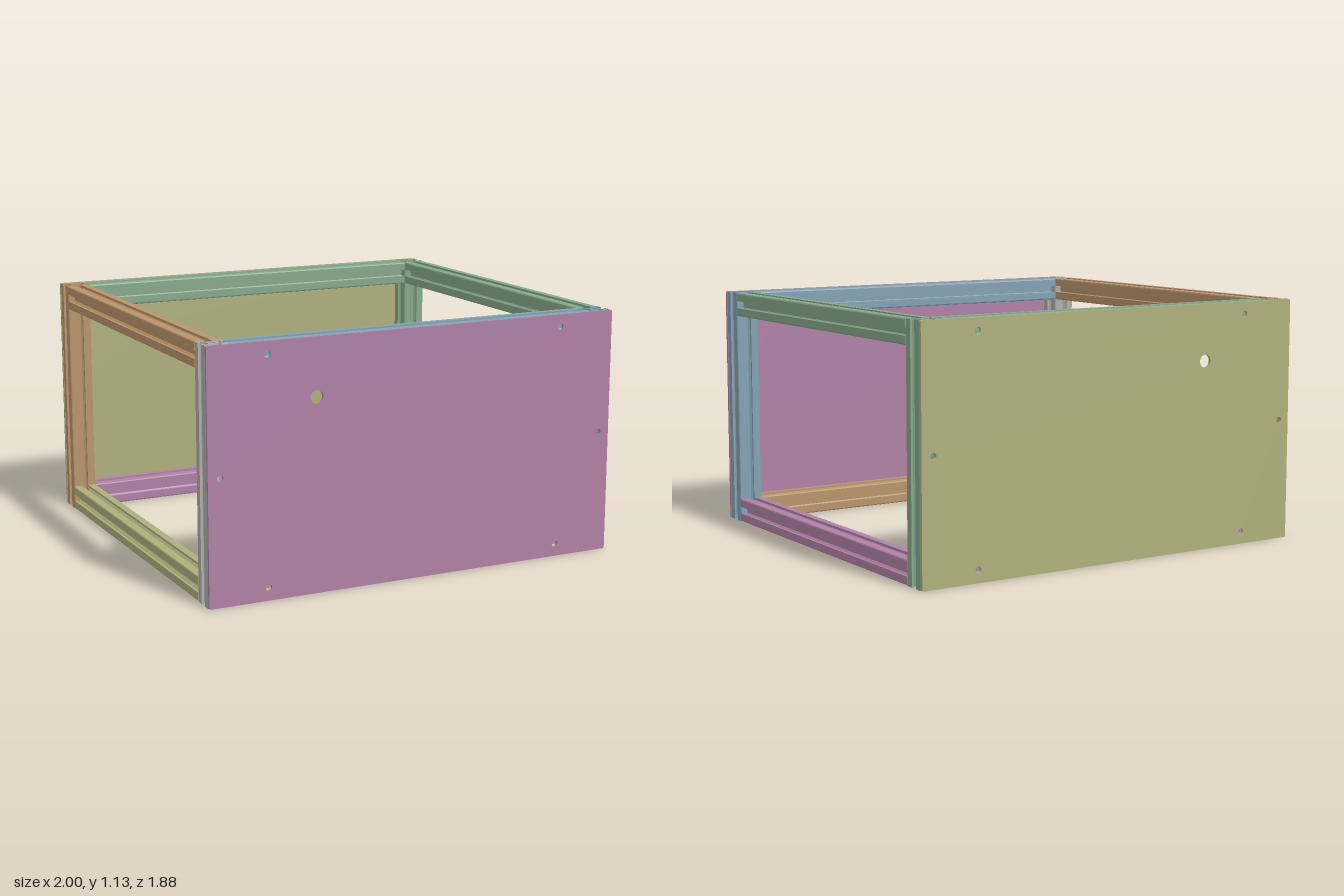
import * as THREE from 'three';

const MM = 0.00565;              // profile drawn in 20 x 20 steps
const H = 1.13, W = 20 * MM;     // frame height, profile width
const PX = 1 - W / 2;            // post centre x
const PZ = 0.925 - W / 2;        // post centre z
const T = 0.0125;                // panel thickness

const mat = (name, color) => {
  const m = new THREE.MeshStandardMaterial({ color });
  m.name = name;
  return m;
};

// T-slot cross-section: four slotted sides, webs, hollow corners, centre bore
function profileShape() {
  const s = new THREE.Shape();
  const side = [[10, -8.8], [10, -3], [8.2, -3], [8.2, -5.8], [6.86, -5.8], [3.9, -2.84],
    [3.9, 2.84], [6.86, 5.8], [8.2, 5.8], [8.2, 3], [10, 3], [10, 8.8], [9.65, 9.65]];
  const turn = ([x, y], k) => {
    for (let i = 0; i < k; i++) [x, y] = [-y, x];
    return new THREE.Vector2(x * MM, y * MM);
  };
  const pts = [];
  for (let k = 0; k < 4; k++) side.forEach(p => pts.push(turn(p, k)));
  s.setFromPoints(pts);
  for (let k = 0; k < 4; k++) {
    const sq = [[6.9, 6.9], [6.9, 8.8], [8.8, 8.8], [8.8, 6.9]];
    s.holes.push(new THREE.Path().setFromPoints(sq.map(p => turn(p, k))));
  }
  s.holes.push(new THREE.Path().absarc(0, 0, 2.6 * MM, 0, Math.PI * 2, true));
  return s;
}

// Bar along z, centred on its own origin
function barGeometry(length) {
  const g = new THREE.ExtrudeGeometry(profileShape(), { depth: length, bevelEnabled: false, curveSegments: 8 });
  return g.translate(0, 0, -length / 2);
}

// Rounded plate with screw holes and one cable hole
function panelGeometry() {
  const r = 0.008, s = new THREE.Shape();
  s.absarc(1 - r, r, r, -Math.PI / 2, 0);
  s.absarc(1 - r, H - r, r, 0, Math.PI / 2);
  s.absarc(-1 + r, H - r, r, Math.PI / 2, Math.PI);
  s.absarc(-1 + r, r, r, Math.PI, Math.PI * 1.5);
  s.closePath();
  const hole = (x, y, rad) => s.holes.push(new THREE.Path().absarc(x, y, rad, 0, Math.PI * 2, true));
  for (const sx of [-1, 1]) {
    hole(sx * 0.724, 0.058, 0.015);
    hole(sx * 0.724, H - 0.057, 0.015);
    hole(sx * PX, H / 2, 0.015);
  }
  hole(-0.495, 0.87, 0.03);
  return new THREE.ExtrudeGeometry(s, { depth: T, bevelEnabled: false, curveSegments: 12 });
}

export function createModel() {
  const model = new THREE.Group();
  model.name = 'slottedFrame';
  const blue = mat('blue', 0x83a1b3), green = mat('green', 0x86a98a), brown = mat('brown', 0xb8946c);
  const mauve = mat('mauve', 0xb081a5), olive = mat('olive', 0xaeaf7c), grey = mat('grey', 0xb0aeab);

  const add = (name, geo, material, x, y, z) => {
    const m = new THREE.Mesh(geo, material);
    m.name = name;
    m.position.set(x, y, z);
    model.add(m);
  };

  // Corner posts
  const post = barGeometry(H).rotateX(Math.PI / 2);
  add('postFrontLeft', post, blue, PX, H / 2, PZ);
  add('postBackLeft', post, green, PX, H / 2, -PZ);
  add('postBackRight', post, brown, -PX, H / 2, -PZ);
  add('postFrontRight', post, grey, -PX, H / 2, PZ);

  // Rails between the posts
  const cross = barGeometry(2 - 2 * W).rotateY(Math.PI / 2);
  const along = barGeometry(2 * PZ - W);
  const top = H - W / 2, low = W / 2;
  add('railTopFront', cross, blue, 0, top, PZ);
  add('railTopBack', cross, green, 0, top, -PZ);
  add('railBottomFront', cross, brown, 0, low, PZ);
  add('railBottomBack', cross, mauve, 0, low, -PZ);
  add('railTopLeft', along, green, PX, top, 0);
  add('railTopRight', along, brown, -PX, top, 0);
  add('railBottomLeft', along, mauve, PX, low, 0);
  add('railBottomRight', along, olive, -PX, low, 0);

  // Cover panels
  const panel = panelGeometry();
  add('frontPanel', panel, mauve, 0, 0, 0.925);
  add('backPanel', panel, olive, 0, 0, -0.925 - T);
  return model;
}
